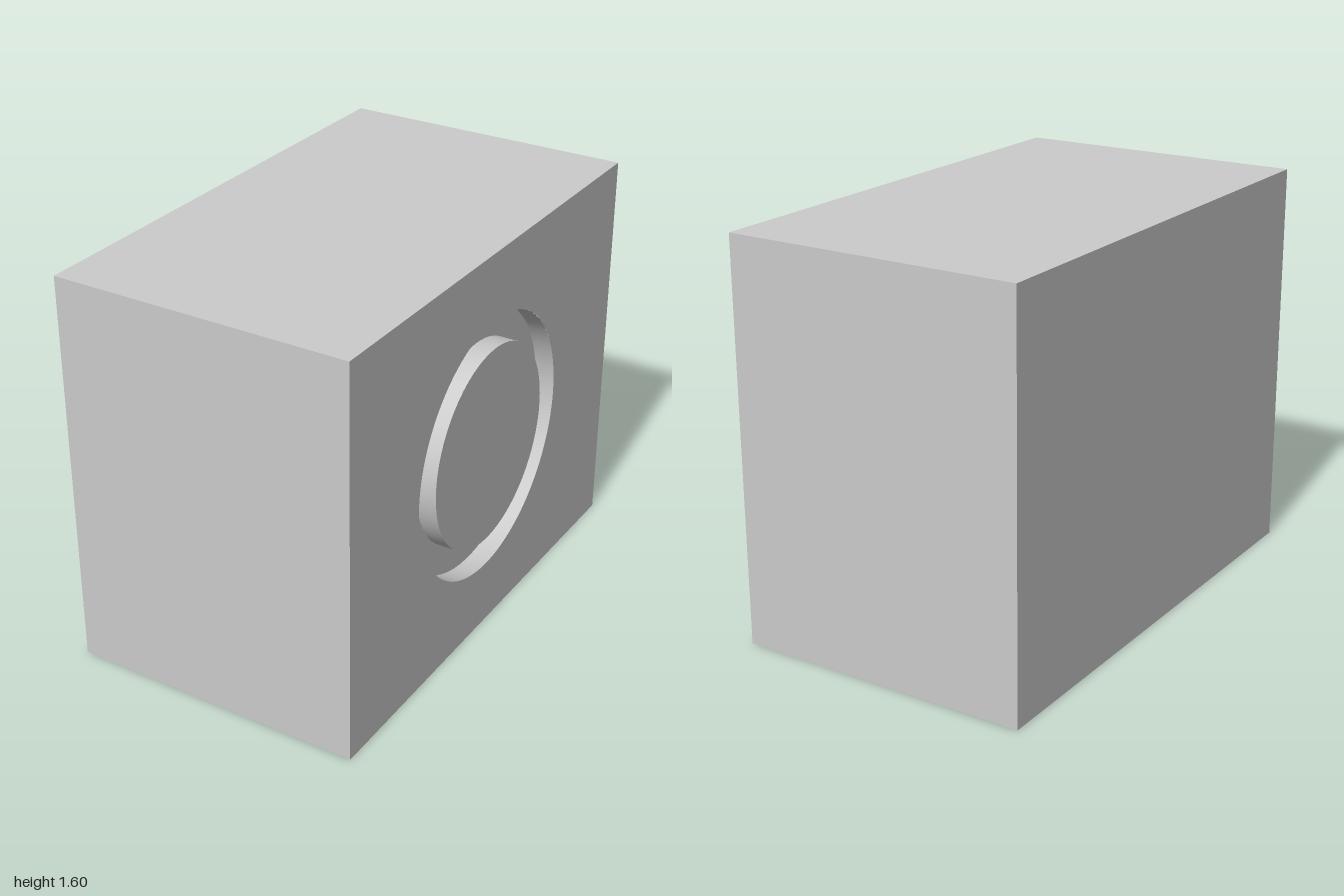
import * as THREE from 'three';
import { toCreasedNormals } from 'three/addons/utils/BufferGeometryUtils.js';

const W = 1.2, H = 1.6, D = 2;                 // block size
const OUTER = 0.53, INNER = 0.41, DEPTH = 0.08; // ring groove
const CY = 0.8, CZ = 0.01;                     // groove centre
const SEGMENTS = 64;

export function createModel() {
  const group = new THREE.Group();
  const material = new THREE.MeshStandardMaterial({ color: 0xcccccc });
  const add = (name, geometry) => {
    const mesh = new THREE.Mesh(geometry, material);
    mesh.name = name;
    group.add(mesh);
  };

  // Block, left open on its +x side (the first six indices)
  const block = new THREE.BoxGeometry(W, H, D).translate(0, H / 2, 0);
  block.setIndex(Array.from(block.index.array).slice(6));
  block.clearGroups();
  add('block', block);

  // Side panel with a round opening
  const panel = new THREE.Shape();
  panel.moveTo(-D / 2, 0).lineTo(D / 2, 0).lineTo(D / 2, H).lineTo(-D / 2, H).closePath();
  panel.holes.push(new THREE.Path().absarc(-CZ, CY, OUTER, 0, Math.PI * 2, true));
  add('groovedSidePanel',
    new THREE.ShapeGeometry(panel, SEGMENTS).rotateY(Math.PI / 2).translate(W / 2, 0, 0));

  // Ring groove and the flush disc inside it, turned about the x axis
  const profile = [[OUTER, 0], [OUTER, -DEPTH], [INNER, -DEPTH], [INNER, 0], [0, 0]]
    .map(([r, h]) => new THREE.Vector2(r, h));
  const groove = new THREE.LatheGeometry(profile, SEGMENTS)
    .rotateZ(-Math.PI / 2).translate(W / 2, CY, CZ);
  add('ringGrooveAndDisc', toCreasedNormals(groove, Math.PI / 6));

  return group;
}
